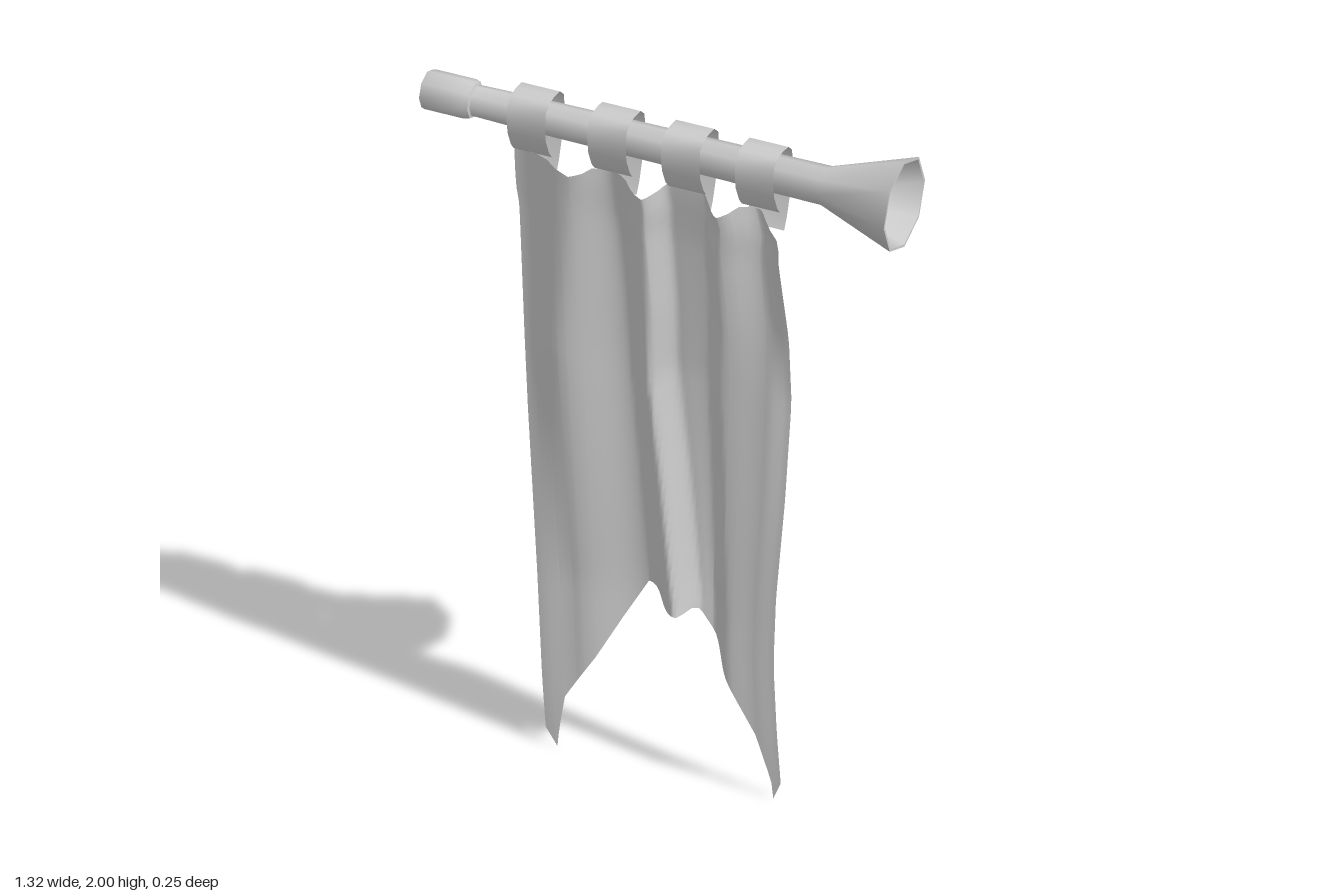
import * as THREE from 'three';
import { toCreasedNormals } from 'three/addons/utils/BufferGeometryUtils.js';

const { lerp } = THREE.MathUtils;
const AXIS_Y = 1.873;
const TABS = [-0.361, -0.138, 0.066, 0.27];
const TAB_W = 0.106;

// Piecewise interpolation through [position, value] pairs sorted by position
function sample(keys, p, smooth = false) {
  if (p <= keys[0][0]) return keys[0][1];
  for (let i = 1; i < keys.length; i++) {
    const [a, va] = keys[i - 1], [b, vb] = keys[i];
    if (p <= b) {
      let t = (p - a) / (b - a);
      if (smooth) t = t * t * (3 - 2 * t);
      return va + (vb - va) * t;
    }
  }
  return keys[keys.length - 1][1];
}

// Indexed sheet from a grid of points
function sheet(rows, cols, point) {
  const pos = [], idx = [];
  for (let r = 0; r <= rows; r++)
    for (let c = 0; c <= cols; c++) pos.push(...point(r, c));
  for (let r = 0; r < rows; r++)
    for (let c = 0; c < cols; c++) {
      const a = r * (cols + 1) + c, b = a + cols + 1;
      idx.push(a, b, a + 1, b, b + 1, a + 1);
    }
  const g = new THREE.BufferGeometry();
  g.setAttribute('position', new THREE.Float32BufferAttribute(pos, 3));
  g.setIndex(idx);
  g.computeVertexNormals();
  return g;
}

// Banner outline: side edges by height, lower and upper edges by u across
const LEFT = [[0, -0.325], [0.05, -0.332], [0.2, -0.342], [0.5, -0.355], [1, -0.378], [1.6, -0.4], [1.66, -0.41], [1.78, -0.415]];
const RIGHT = [[0, 0.31], [0.05, 0.318], [0.2, 0.307], [0.4, 0.298], [0.6, 0.305], [0.9, 0.33], [1.2, 0.348], [1.4, 0.35], [1.62, 0.333], [1.7, 0.34], [1.76, 0.322]];
const BOTTOM = [[0, 0.05], [0.04, 0], [0.088, 0.15], [0.22, 0.28], [0.42, 0.51], [0.65, 0.51], [0.8, 0.33], [0.91, 0.18], [0.98, 0], [1, 0.05]];
const TOP = [[0, 1.78], [0.14, 1.77], [0.17, 1.755], [0.22, 1.742], [0.27, 1.755], [0.3, 1.77], [0.44, 1.77], [0.46, 1.755],
  [0.505, 1.74], [0.55, 1.755], [0.575, 1.77], [0.71, 1.77], [0.74, 1.755], [0.785, 1.74], [0.83, 1.755], [0.86, 1.77], [0.98, 1.76], [1, 1.715]];

// Pleat ridges and valleys [u, z] at the hem, at mid height and at the top; matching entries form one fold line
const FOLD_LOW = [[0, 0], [0.15, -0.015], [0.42, -0.074], [0.62, 0.06], [0.67, -0.035], [0.72, -0.045], [0.81, 0.015], [0.92, 0.005], [1, 0]];
const FOLD_MID = [[0, 0.01], [0.14, 0.035], [0.37, -0.036], [0.48, 0.04], [0.56, -0.028], [0.665, -0.035], [0.755, 0.035], [0.92, 0.015], [1, 0]];
const FOLD_TOP = [[0, 0.01], [0.22, 0.045], [0.36, 0.01], [0.505, 0.065], [0.58, 0.012], [0.71, 0.012], [0.785, 0.065], [0.92, 0.015], [1, 0.07]];
// Blend weights and tail flattening by height
const TOP_WEIGHT = [[1.2, 0], [1.6, 0.6], [1.75, 1]];
const LOW_WEIGHT = [[0.51, 1], [1.2, 0]];
const TAIL_DEPTH = [[0, 0.2], [0.2, 0.85], [0.45, 1]];

function bannerDepth(u, y) {
  const low = sample(LOW_WEIGHT, y), top = sample(TOP_WEIGHT, y);
  const folds = FOLD_MID.map((mid, i) => mid.map((v, k) => lerp(lerp(v, FOLD_LOW[i][k], low), FOLD_TOP[i][k], top)));
  return sample(folds, u, true) * sample(TAIL_DEPTH, y);
}

function bannerGeometry() {
  const us = Array.from({ length: 81 }, (_, i) => i / 80);
  for (const [u] of [...BOTTOM, ...TOP]) if (!us.some(v => Math.abs(v - u) < 1e-4)) us.push(u);
  us.sort((a, b) => a - b);
  const rows = 40;
  return sheet(rows, us.length - 1, (r, c) => {
    const u = us[c];
    const y = lerp(sample(TOP, u), sample(BOTTOM, u), r / rows);
    return [lerp(sample(LEFT, y), sample(RIGHT, y), u), y, bannerDepth(u, y)];
  });
}

// Hanging loop: a strip wrapped over the tube, front to back [z, y]
const LOOP = [[0.015, 1.768], [0.032, 1.79], [0.052, 1.835], [0.058, 1.88], [0.052, 1.92], [0.03, 1.937], [0, 1.94],
  [-0.035, 1.936], [-0.058, 1.915], [-0.064, 1.87], [-0.056, 1.82], [-0.038, 1.765], [-0.026, 1.73], [-0.01, 1.7]];

function loopGeometry() {
  return sheet(LOOP.length - 1, 1, (r, c) => [(0.5 - c) * TAB_W, LOOP[r][1], LOOP[r][0]]);
}

export function createModel() {
  const group = new THREE.Group();
  const metal = new THREE.MeshStandardMaterial({ color: 0xcccccc });
  const cloth = new THREE.MeshStandardMaterial({ color: 0xcccccc, side: THREE.DoubleSide });
  const add = (name, geometry, material) => {
    const mesh = new THREE.Mesh(geometry, material);
    mesh.name = name;
    group.add(mesh);
    return mesh;
  };

  // Horn: eight-sided tube with mouthpiece and hollow flared bell
  const profile = [
    [0, -0.66], [0.05, -0.66], [0.053, -0.65], [0.053, -0.54], [0.049, -0.527], [0.041, -0.525],
    [0.044, -0.4], [0.052, 0.445], [0.127, 0.66],
    [0.12, 0.66], [0.044, 0.445], [0, 0.4],
  ].map(([r, x]) => new THREE.Vector2(r, x));
  const horn = toCreasedNormals(new THREE.LatheGeometry(profile, 8), 0.87);
  horn.rotateZ(-Math.PI / 2);
  add('horn', horn, metal).position.y = AXIS_Y;

  // Swallow-tailed banner
  add('banner', bannerGeometry(), cloth);

  // Loops holding the banner to the horn
  const loop = loopGeometry();
  TABS.forEach((x, i) => {
    add('bannerLoop' + (i + 1), loop, cloth).position.x = x;
  });

  return group;
}
